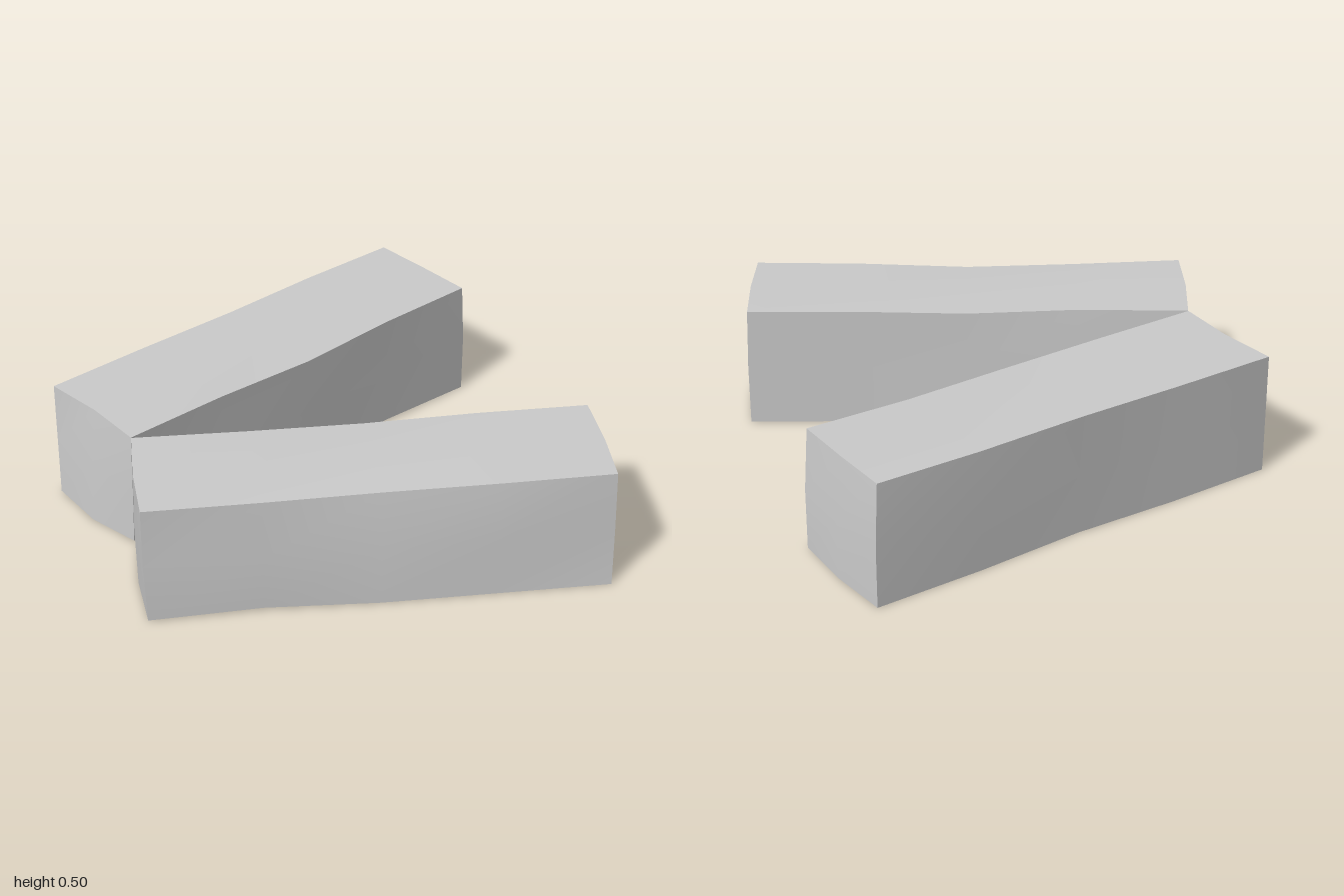
import * as THREE from 'three';

const LENGTH = 1.787, HEIGHT = 0.5, WIDTH = 0.5, ANGLE = 0.295;

// Hewn beam: a segmented box whose grid points (u, v, w from -1 to 1)
// are nudged by small dents, each written [u, v, w, dx, dy, dz].
function makeBeam(name, dents, side) {
  const geo = new THREE.BoxGeometry(LENGTH, HEIGHT, WIDTH, 4, 2, 2);
  const pos = geo.attributes.position;
  for (let i = 0; i < pos.count; i++) {
    const u = pos.getX(i) / (LENGTH / 2);
    const v = pos.getY(i) / (HEIGHT / 2);
    const w = pos.getZ(i) / (WIDTH / 2);
    for (const [a, b, c, dx, dy, dz] of dents) {
      if (Math.abs(u - a) + Math.abs(v - b) + Math.abs(w - c) > 0.01) continue;
      pos.setXYZ(i, pos.getX(i) + dx, pos.getY(i) + dy, pos.getZ(i) + dz);
    }
  }
  geo.computeVertexNormals(); // soft within each side, sharp at the box edges
  const mesh = new THREE.Mesh(geo, new THREE.MeshStandardMaterial({ color: 0xcccccc }));
  mesh.name = name;
  mesh.position.set(0, HEIGHT / 2, side * 0.5);
  mesh.rotation.y = -side * ANGLE;
  return mesh;
}

// Front beam: outer side is +w
const frontDents = [
  [0, 1, 1, 0, -0.015, -0.03], [-0.5, 1, 1, 0, -0.01, -0.015], [0.5, 1, 1, 0, -0.005, -0.015],
  [1, 1, 1, -0.008, 0, -0.013], [1, 1, -1, -0.008, 0, 0],
  [-0.5, -1, 1, 0, 0.012, -0.012], [-1, -1, 1, 0.01, 0.005, 0],
  [1, 0, 0, 0.025, 0, 0], [1, -1, 0, 0.02, 0, 0], [1, 0, 1, 0, 0, -0.015],
  [-1, 0, 0, -0.015, 0, 0], [-1, 1, 0, -0.01, 0, 0], [-1, -1, 0, -0.01, 0, 0],
  [-1, -1, -1, 0, 0.01, 0.015], [-1, 0, -1, 0, 0, 0.006],
  [-0.5, 1, -1, 0, 0, 0.012], [0, 1, -1, 0, -0.01, 0], [0, -1, -1, 0, 0.012, 0],
];

// Back beam: outer side is -w
const backDents = [
  [-1, 1, 0, 0.015, 0, 0], [-1, 0, 0, -0.015, 0, 0], [-1, -1, 0, -0.025, 0, 0],
  [1, 1, 0, -0.015, 0, 0], [1, 0, 0, 0.012, 0, 0], [1, -1, 0, 0.015, 0, 0],
  [1, 1, 1, -0.018, 0, 0], [1, 1, -1, -0.018, 0, 0.01],
  [0, 1, -1, 0, 0, 0.008], [0, 0, -1, 0, 0, 0.012], [0, -1, -1, 0, 0, 0.018],
  [0, 1, 1, 0, -0.01, 0.01], [0, 0, 1, 0, 0, 0.01], [0, -1, 1, 0, 0.024, 0.008],
  [0.5, 1, 1, 0, -0.005, -0.008], [0.5, 0, 1, 0, 0, -0.006], [0.5, -1, 1, 0, 0.014, -0.005],
  [-1, -1, 1, 0, 0.01, -0.015], [-1, 0, 1, 0, 0, -0.006],
];

export function createModel() {
  const group = new THREE.Group();
  group.name = 'beamPair';
  group.add(makeBeam('frontBeam', frontDents, 1));
  group.add(makeBeam('backBeam', backDents, -1));
  return group;
}
